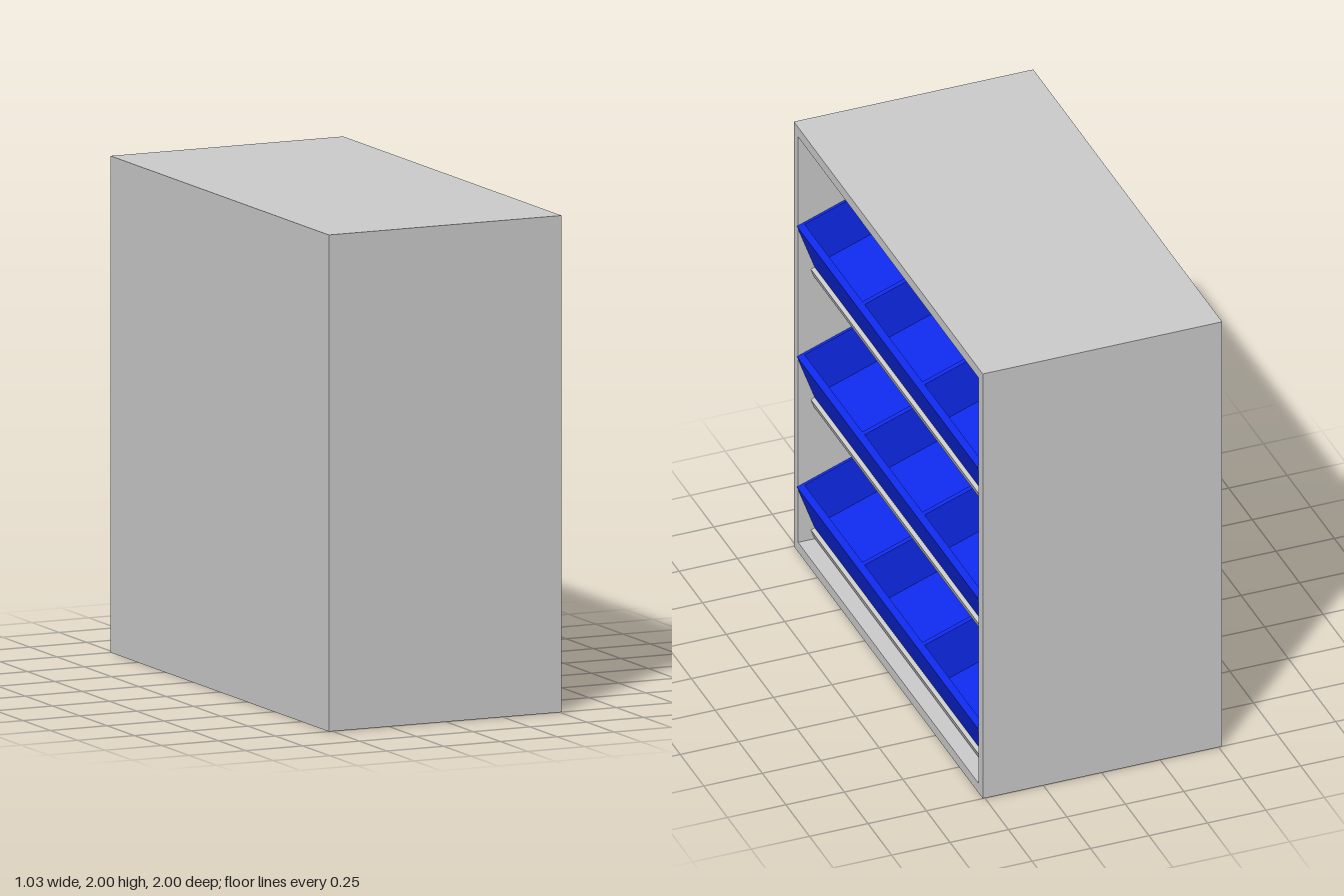
import * as THREE from 'three';

const grey = new THREE.MeshStandardMaterial({ color: 0xcccccc });
const blue = new THREE.MeshStandardMaterial({ color: 0x0e29eb });

function add(parent, name, geometry, material, x = 0, y = 0, z = 0) {
  const mesh = new THREE.Mesh(geometry, material);
  mesh.name = name;
  mesh.position.set(x, y, z);
  parent.add(mesh);
  return mesh;
}

function rectangle(path, x0, y0, x1, y1) {
  path.moveTo(x0, y0);
  path.lineTo(x1, y0);
  path.lineTo(x1, y1);
  path.lineTo(x0, y1);
  path.closePath();
  return path;
}

const extrude = (shape, depth) =>
  new THREE.ExtrudeGeometry(shape, { depth, bevelEnabled: false });

const WALL = 0.045;
const BACK = -0.515;
const FRONT = 0.509;

// Tilted shelf carrying one bin split into three compartments
function createTier() {
  const tier = new THREE.Group();
  tier.name = 'shelfTier';

  const thickness = 0.043, shelfLength = 0.97;
  add(tier, 'shelf', new THREE.BoxGeometry(shelfLength, thickness, 1.91), grey,
    -shelfLength / 2, thickness / 2, 0);

  const length = 0.614, height = 0.225, floor = 0.02, half = 0.954;
  const frontWall = 0.03, backWall = 0.07, pitch = 0.635, opening = 0.612;
  const bin = new THREE.Group();
  bin.name = 'bin';
  bin.position.set(-0.018, thickness, 0);
  tier.add(bin);

  // Bin walls and dividers, with the compartments as holes
  const plan = rectangle(new THREE.Shape(), -length, -half, 0, half);
  for (const i of [-1, 0, 1]) {
    const z = i * pitch;
    plan.holes.push(rectangle(new THREE.Path(),
      -length + backWall, z - opening / 2, -frontWall, z + opening / 2));
  }
  const walls = extrude(plan, height - floor).rotateX(-Math.PI / 2);
  add(bin, 'binWalls', walls, blue, 0, floor, 0);
  add(bin, 'binFloor', new THREE.BoxGeometry(length, floor, half * 2), blue,
    -length / 2, floor / 2, 0);
  return tier;
}

export function createModel() {
  const model = new THREE.Group();
  model.name = 'storageCabinet';

  // Carcass: a rectangular frame open at the +x side, closed by a back panel
  const outline = rectangle(new THREE.Shape(), -1, 0, 1, 2);
  outline.holes.push(rectangle(new THREE.Path(), -1 + WALL, WALL, 1 - WALL, 2 - WALL));
  const frame = extrude(outline, FRONT - BACK).rotateY(Math.PI / 2);
  add(model, 'cabinetFrame', frame, grey, BACK, 0, 0);
  add(model, 'backPanel', new THREE.BoxGeometry(WALL, 2 - 2 * WALL, 2 - 2 * WALL), grey,
    BACK + WALL / 2, 1, 0);

  // Three tiers sloping down towards the opening
  for (let i = 0; i < 3; i++) {
    const tier = createTier();
    tier.position.set(0.44, 0.05 + i * 0.614, 0);
    tier.rotation.z = -THREE.MathUtils.degToRad(20);
    model.add(tier);
  }
  return model;
}
